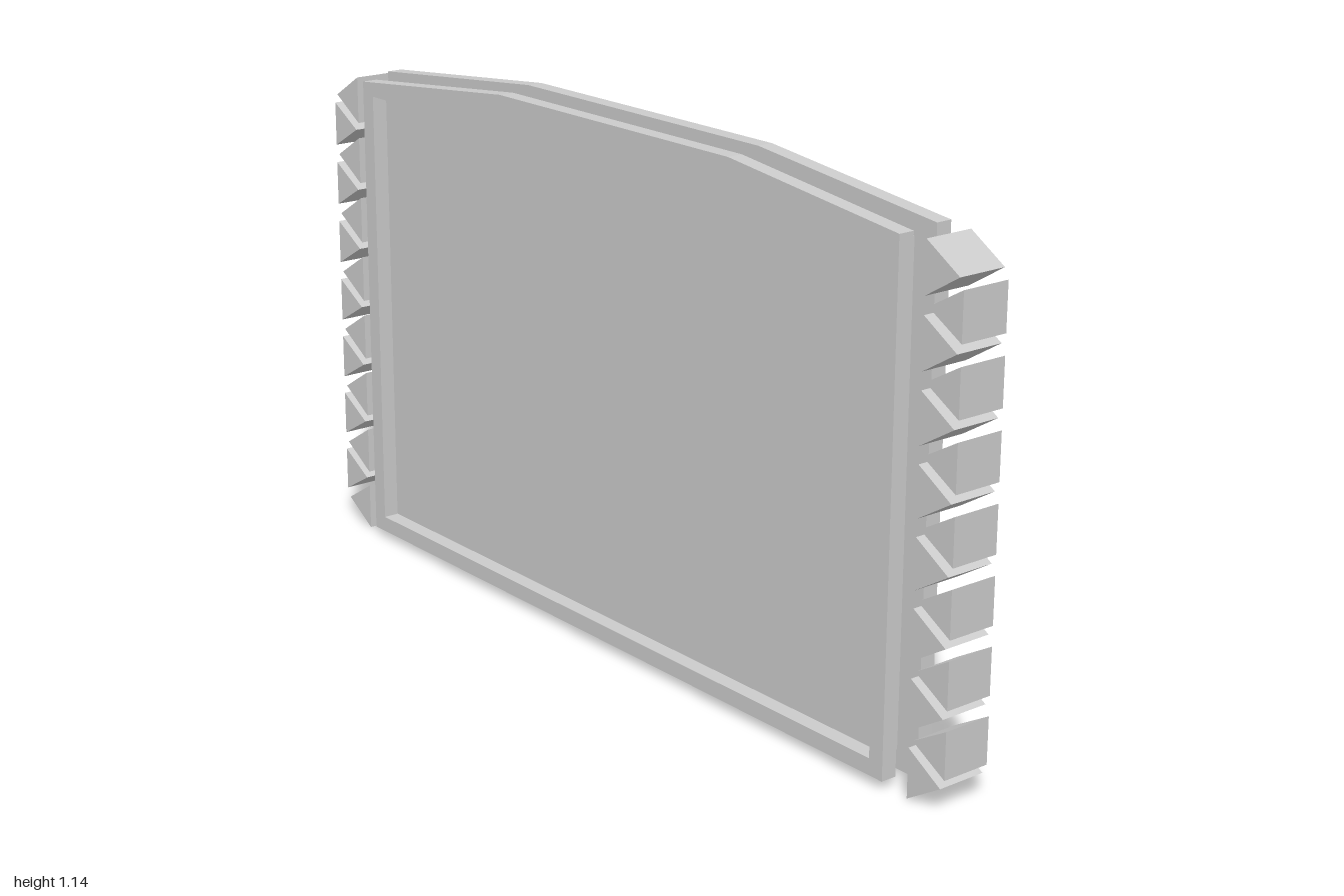
import * as THREE from 'three';

const material = new THREE.MeshStandardMaterial({ color: 0xcccccc, flatShading: true });

// Extrudes a side outline of [z, y] points from x0 to x1.
function slab(name, points, x0, x1, hole) {
  const toPath = (list) => list.map(([z, y]) => new THREE.Vector2(-z, y));
  const shape = new THREE.Shape(toPath(points));
  if (hole) shape.holes.push(new THREE.Path(toPath(hole)));
  const geometry = new THREE.ExtrudeGeometry(shape, { depth: x1 - x0, bevelEnabled: false });
  geometry.rotateY(Math.PI / 2);
  geometry.translate(x0, 0, 0);
  const mesh = new THREE.Mesh(geometry, material);
  mesh.name = name;
  return mesh;
}

// Rectangular board whose top rises to a flat crown.
function boardOutline(zBack, zFront, bottom, shoulder, top) {
  return [[zFront, bottom], [zBack, bottom], [zBack, shoulder],
    [-0.34, top], [0.39, top], [zFront, shoulder]];
}

export function createModel() {
  const model = new THREE.Group();
  model.name = 'panel';

  // Solid cover, core and open frame
  model.add(slab('coverBoard', boardOutline(-0.87, 0.87, 0.01, 1.09, 1.143), 0.01, 0.045));
  model.add(slab('coreBoard', boardOutline(-0.82, 0.815, 0.05, 1.055, 1.107), -0.03, 0.01));
  model.add(slab('openFrame', boardOutline(-0.858, 0.853, 0.02, 1.078, 1.132), -0.065, -0.03,
    [[0.817, 0.055], [-0.82, 0.055], [-0.82, 1.05], [0.817, 1.05]]));

  // Interlocking rows of triangular teeth along both ends
  for (const side of [1, -1]) {
    const row = new THREE.Group();
    row.name = side > 0 ? 'frontTeeth' : 'backTeeth';
    const pitch = 0.139;
    for (let i = 0; i < 8; i++) {
      const y = 0.053 + pitch * i;
      row.add(slab('outwardTooth',
        [[side * 0.905, y - 0.052], [side * 0.99, y], [side * 0.905, y + 0.052]], -0.05, 0.06));
      if (i === 7) continue;
      const mid = y + pitch / 2;
      row.add(slab('inwardTooth',
        [[side, mid - 0.049], [side * 0.915, mid], [side, mid + 0.049]], -0.05, 0.06));
    }
    model.add(row);
  }
  return model;
}
